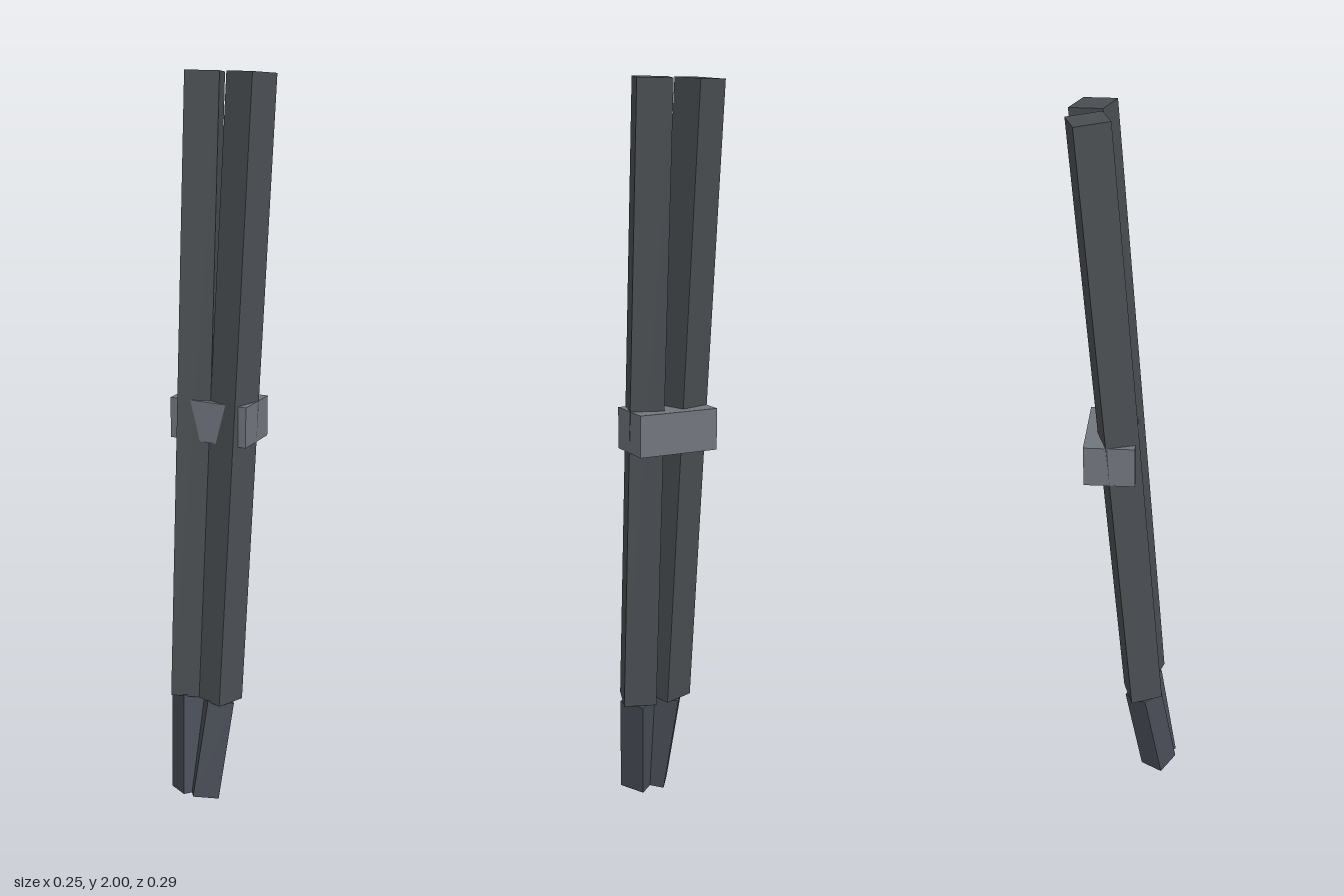
import * as THREE from 'three';

const barMaterial = new THREE.MeshStandardMaterial({ color: 0x4a4e52, flatShading: true });
const tipMaterial = new THREE.MeshStandardMaterial({ color: 0x484c55, flatShading: true });
const claspMaterial = new THREE.MeshStandardMaterial({ color: 0x71757d, flatShading: true });

// Square bar between two points, turned by yaw about its own length
function squareBar(name, bottom, top, size, yaw, material) {
  const axis = new THREE.Vector3().subVectors(top, bottom);
  const length = axis.length();
  axis.normalize();
  const side = new THREE.Vector3(Math.cos(yaw), 0, -Math.sin(yaw));
  side.addScaledVector(axis, -side.dot(axis)).normalize();
  const front = new THREE.Vector3().crossVectors(side, axis);
  const mesh = new THREE.Mesh(new THREE.BoxGeometry(size, length, size), material);
  mesh.quaternion.setFromRotationMatrix(new THREE.Matrix4().makeBasis(side, axis, front));
  mesh.position.addVectors(bottom, top).multiplyScalar(0.5);
  mesh.name = name;
  return mesh;
}

export function createModel() {
  const group = new THREE.Group();
  group.name = 'pairedBars';

  for (const [label, s] of [['left', 1], ['right', -1]]) {
    const joint = new THREE.Vector3(0.047 * s, 0.296, 0.044);
    // Long bar, splaying outward and back as it rises
    group.add(squareBar(label + 'Bar', joint,
      new THREE.Vector3(0.067 * s, 1.9955, -0.0915), 0.091, -0.315 * s, barMaterial));
    // Short slimmer tip, converging forward
    group.add(squareBar(label + 'Tip',
      new THREE.Vector3(0.024 * s, 0.01, 0.092), joint, 0.074, 0.61 * s, tipMaterial));
  }

  // Block holding the two bars together
  const clasp = new THREE.Mesh(new THREE.BoxGeometry(0.226, 0.112, 0.135), claspMaterial);
  clasp.position.set(0, 1.094, -0.045);
  clasp.name = 'clasp';
  group.add(clasp);

  return group;
}
